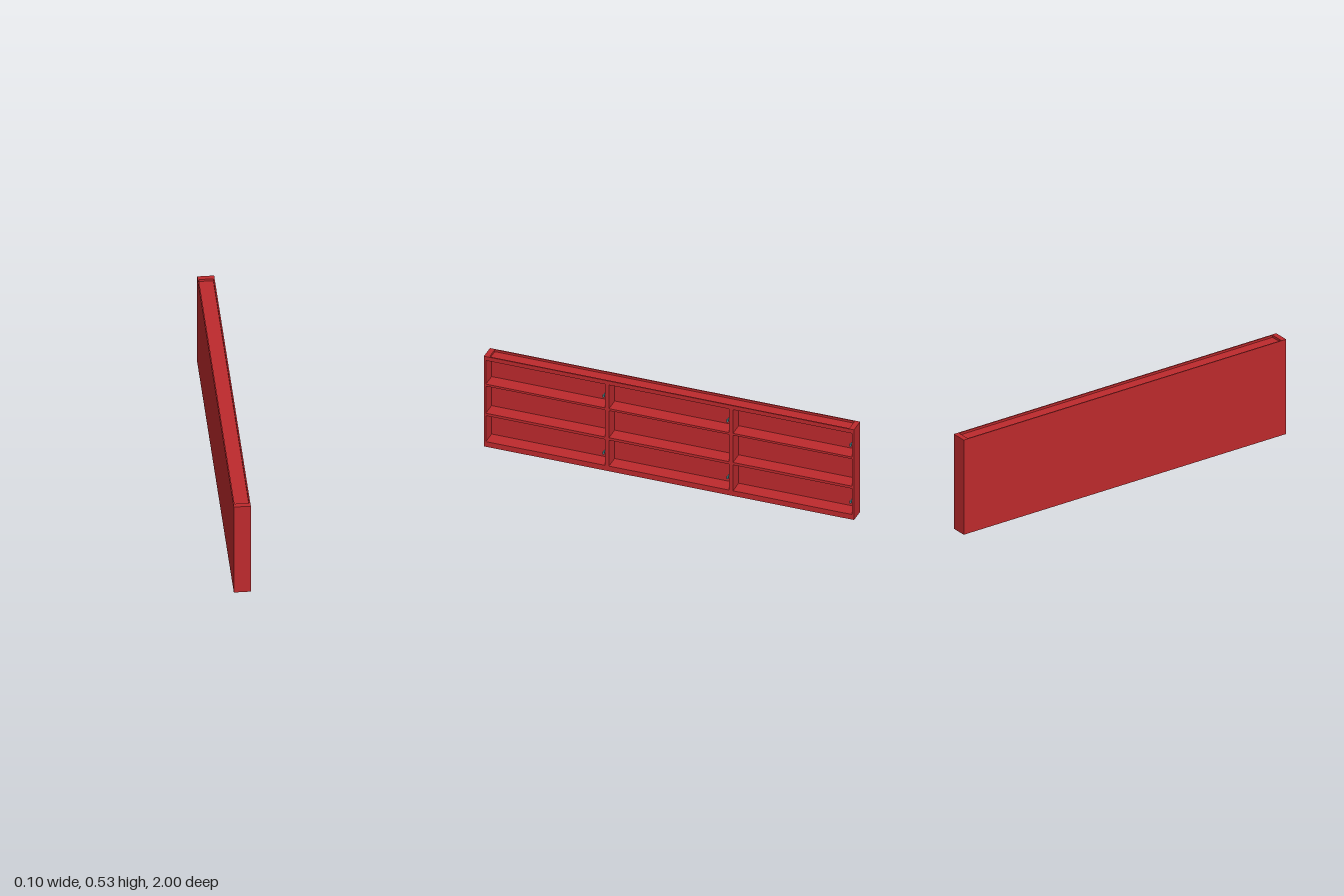
import * as THREE from 'three';

const red = new THREE.MeshStandardMaterial({ color: 0xbe2a2d });
const teal = new THREE.MeshStandardMaterial({ color: 0x4f9fa5 });

// Cabinet limits: back, front, height and half length
const BACK = -0.048, FRONT = 0.038, H = 0.53, L = 1;

// Box given by its lower and upper corner
function box(parent, name, [x0, y0, z0], [x1, y1, z1], material = red) {
  const mesh = new THREE.Mesh(new THREE.BoxGeometry(x1 - x0, y1 - y0, z1 - z0), material);
  mesh.position.set((x0 + x1) / 2, (y0 + y1) / 2, (z0 + z1) / 2);
  mesh.name = name;
  parent.add(mesh);
  return mesh;
}

// Hinge mounting plate with screws and an arm; it lies on a wall facing +z
function createHinge() {
  const hinge = new THREE.Group();
  hinge.name = 'hinge';

  const outline = new THREE.Shape([
    [-0.007, -0.031], [0.007, -0.031], [0.01, -0.026], [0.01, -0.014], [0.007, -0.009],
    [0.007, 0.009], [0.01, 0.014], [0.01, 0.026], [0.007, 0.031], [-0.007, 0.031],
    [-0.01, 0.026], [-0.01, 0.014], [-0.007, 0.009], [-0.007, -0.009], [-0.01, -0.014], [-0.01, -0.026],
  ].map(([x, y]) => new THREE.Vector2(x, y)));
  const plate = new THREE.Mesh(
    new THREE.ExtrudeGeometry(outline, { depth: 0.003, bevelEnabled: false }), teal);
  plate.name = 'hingePlate';
  hinge.add(plate);

  for (const y of [-0.02, 0.02]) {
    const screw = new THREE.Mesh(new THREE.CylinderGeometry(0.004, 0.005, 0.002, 16), teal);
    screw.name = 'hingeScrew';
    screw.rotation.x = Math.PI / 2;
    screw.position.set(0, y, 0.004);
    hinge.add(screw);
  }
  box(hinge, 'hingeArm', [-0.008, -0.007, 0.003], [0.022, 0.007, 0.008], teal);

  const knuckle = new THREE.Mesh(new THREE.CylinderGeometry(0.005, 0.005, 0.014, 16), teal);
  knuckle.name = 'hingeKnuckle';
  knuckle.position.set(0.027, 0, 0.006);
  hinge.add(knuckle);
  return hinge;
}

export function createModel() {
  const model = new THREE.Group();
  model.name = 'wallCabinet';

  const endT = 0.011, backT = 0.006, lip = 0.007;
  const inBack = BACK + backT, inEnd = L - endT;
  const divider = 0.335, half = 0.011;
  const floorY = 0.03, ceilY = 0.507, skin = 0.011;

  // Outer shell
  box(model, 'backPanel', [BACK, 0, -inEnd], [inBack, H, inEnd]);
  for (const s of [-1, 1]) {
    const z0 = s > 0 ? inEnd : -L;
    box(model, 'endPanel', [BACK, 0, z0], [FRONT, H, z0 + endT]);
  }

  // Recessed top and bottom boards, each with a front rail and end blocks
  for (const [name, inner, outer, edge] of [
    ['top', ceilY, ceilY + skin, H], ['bottom', floorY, floorY - skin, 0]]) {
    const lo = Math.min(inner, outer), hi = Math.max(inner, outer);
    box(model, name + 'Board', [inBack, lo, -inEnd], [FRONT - lip, hi, inEnd]);
    box(model, name + 'Rail', [FRONT - lip, Math.min(inner, edge), -inEnd],
      [FRONT, Math.max(inner, edge), inEnd]);
    for (const s of [-1, 1]) {
      const z0 = s > 0 ? 0.972 : -inEnd;
      box(model, name + 'EndBlock', [inBack, Math.min(outer, edge), z0],
        [FRONT - lip, Math.max(outer, edge), z0 + inEnd - 0.972]);
    }
  }

  // Upright dividers
  for (const s of [-1, 1]) {
    box(model, 'divider', [inBack, floorY, s * divider - half], [FRONT, ceilY, s * divider + half]);
  }

  // Two shelves in each of the three bays
  const bays = [
    [-inEnd, -divider - half], [-divider + half, divider - half], [divider + half, inEnd]];
  for (const [z0, z1] of bays) {
    for (const [y0, y1] of [[0.182, 0.197], [0.356, 0.368]]) {
      box(model, 'shelf', [inBack, y0, z0], [FRONT, y1, z1]);
    }
    // A pair of hinges on the rear wall of the bay
    for (const y of [0.105, 0.439]) {
      const hinge = createHinge();
      hinge.position.set(0.016, y, z0);
      model.add(hinge);
    }
  }
  return model;
}
